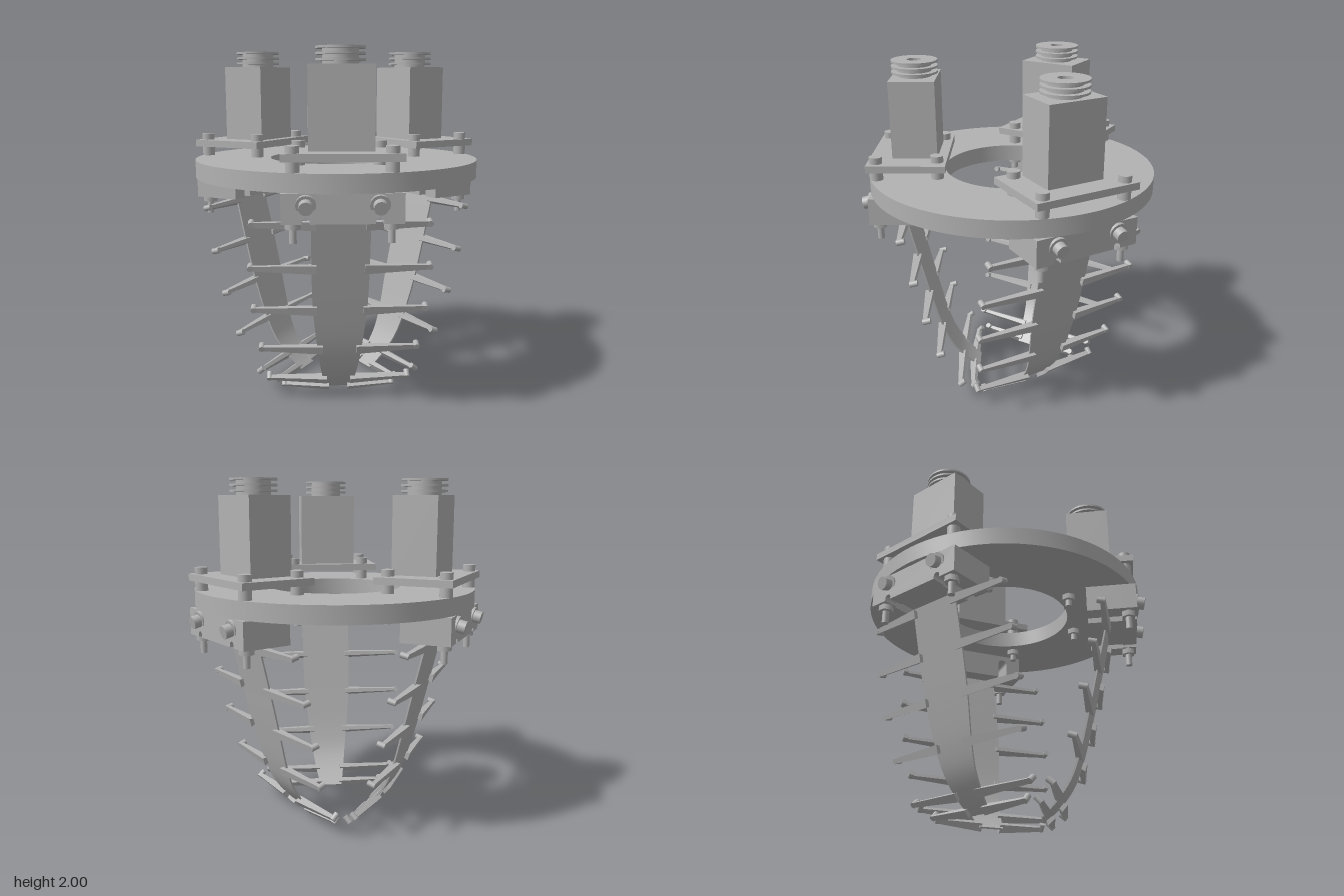
import * as THREE from 'three';
import { toCreasedNormals } from 'three/addons/utils/BufferGeometryUtils.js';

const grey = new THREE.MeshStandardMaterial({ color: 0xb2b2b2 });
grey.name = 'machined grey';

function add(parent, name, geometry, x = 0, y = 0, z = 0) {
  const mesh = new THREE.Mesh(geometry, grey);
  mesh.name = name;
  mesh.position.set(x, y, z);
  parent.add(mesh);
  return mesh;
}

const box = (x0, x1, y0, y1, halfZ) =>
  new THREE.BoxGeometry(x1 - x0, y1 - y0, halfZ * 2).translate((x0 + x1) / 2, (y0 + y1) / 2, 0);

const rod = (r, y0, y1, sides = 24) =>
  new THREE.CylinderGeometry(r, r, y1 - y0, sides).translate(0, (y0 + y1) / 2, 0);

// Ring with a rectangular section
function ringGeometry(rIn, rOut, y0, y1) {
  const p = [[rIn, y0], [rOut, y0], [rOut, y1], [rIn, y1], [rIn, y0]].map(a => new THREE.Vector2(...a));
  return toCreasedNormals(new THREE.LatheGeometry(p, 96), 0.6);
}

// Slice of the clamp block with two arched notches open at the bottom
function notchedSlice(x0, x1, halfNotch, top) {
  const s = new THREE.Shape();
  const y0 = 1.125;
  s.moveTo(-0.31, y0);
  for (const c of [-0.185, 0.185]) {
    s.lineTo(c - halfNotch, y0);
    s.lineTo(c - halfNotch, top - halfNotch);
    s.absarc(c, top - halfNotch, halfNotch, Math.PI, 0, true);
    s.lineTo(c + halfNotch, y0);
  }
  s.lineTo(0.31, y0);
  s.lineTo(0.31, 1.28);
  s.lineTo(-0.31, 1.28);
  const g = new THREE.ExtrudeGeometry(s, { depth: x1 - x0, bevelEnabled: false, curveSegments: 12 });
  return g.rotateY(Math.PI / 2).translate(x0, 0, 0);
}

// Finger centre line: x = radius, y = height, z = half width
const fingerCurve = new THREE.CatmullRomCurve3([
  [0.645, 1.2, 0.157], [0.618, 1.09, 0.157], [0.558, 0.84, 0.157], [0.498, 0.59, 0.15],
  [0.43, 0.34, 0.125], [0.378, 0.21, 0.108], [0.307, 0.11, 0.092], [0.235, 0.038, 0.075],
  [0.21, 0.018, 0.07]].map(p => new THREE.Vector3(...p)));

// Lean of the finger, so that local x is its outward normal
function leanAt(u) {
  const t = fingerCurve.getTangentAt(u);
  return -Math.atan2(-t.x, -t.y);
}

function fingerGeometry() {
  const g = new THREE.BoxGeometry(0.01, 1, 2, 1, 40, 1);
  const pos = g.attributes.position;
  for (let i = 0; i < pos.count; i++) {
    const u = THREE.MathUtils.clamp(0.5 - pos.getY(i), 0, 1);
    const p = fingerCurve.getPointAt(u), a = leanAt(u), d = pos.getX(i);
    pos.setXYZ(i, p.x + d * Math.cos(a), p.y + d * Math.sin(a), pos.getZ(i) * p.z);
  }
  g.computeVertexNormals();
  return g;
}

// Tapered bar from the finger edge to its tip
function barGeometry(root, tip, side) {
  const g = new THREE.BoxGeometry(1, 1, tip - root).translate(0, 0, side * (root + tip) / 2);
  const pos = g.attributes.position;
  for (let i = 0; i < pos.count; i++) {
    const atTip = Math.abs(pos.getZ(i)) > (root + tip) / 2;
    const outer = pos.getX(i) > 0;
    const x = outer ? (atTip ? 0.006 : 0.03) : -0.018;
    const half = atTip ? (outer ? 0.014 : 0.009) : (outer ? 0.026 : 0.014);
    pos.setXY(i, x, Math.sign(pos.getY(i)) * half);
  }
  g.computeVertexNormals();
  return g;
}

function findHeight(y) {
  let lo = 0, hi = 1;
  for (let i = 0; i < 25; i++) {
    const mid = (lo + hi) / 2;
    if (fingerCurve.getPointAt(mid).y > y) lo = mid; else hi = mid;
  }
  return lo;
}

function buildFinger() {
  const finger = new THREE.Group();
  finger.name = 'finger';
  add(finger, 'fingerStrip', fingerGeometry());
  // height, root and tip of each pair of bars
  const bars = [[1.09, 0.13, 0.47], [0.84, 0.13, 0.485], [0.59, 0.128, 0.475],
    [0.34, 0.095, 0.44], [0.11, 0.068, 0.405], [0.038, 0.055, 0.32]];
  for (const [y, root, tip] of bars) {
    const u = findHeight(y), p = fingerCurve.getPointAt(u);
    const pair = new THREE.Group();
    pair.name = 'barPair';
    pair.position.set(p.x, p.y, 0);
    pair.rotation.z = leanAt(u);
    for (const side of [-1, 1]) {
      add(pair, 'bar', barGeometry(root, tip, side));
      const knob = rod(0.017, -0.008, 0.038, 14).rotateZ(Math.PI / 2);
      add(pair, 'barTip', knob, 0, 0, side * tip);
    }
    finger.add(pair);
  }
  return finger;
}

// Grooved pulley with a bore
function pulleyGeometry() {
  const p = [[0.04, 1.91], [0.095, 1.91]];
  for (const y of [1.926, 1.957, 1.988]) p.push([0.095, y], [0.13, y], [0.13, y + 0.012], [0.095, y + 0.012]);
  p.splice(-1, 1, [0.13, 2], [0.04, 2], [0.04, 1.91]);
  return toCreasedNormals(new THREE.LatheGeometry(p.map(a => new THREE.Vector2(...a)), 40), 0.6);
}

function buildModule() {
  const m = new THREE.Group();
  m.name = 'gripperModule';
  add(m, 'mountingPlate', box(0.3625, 0.8025, 1.435, 1.475, 0.31));
  add(m, 'motor', box(0.4175, 0.6725, 1.475, 1.91, 0.17));
  add(m, 'pulley', pulleyGeometry(), 0.545);
  add(m, 'clampBlockInner', notchedSlice(0.52, 0.72, 0.03, 1.25));
  add(m, 'clampBlockOuter', notchedSlice(0.72, 0.8025, 0.02, 1.158));

  for (const side of [-1, 1]) {
    // Vertical bolts: inner short, outer through the block
    for (const [x, z, under, end] of [[0.415, 0.222, 1.28, 1.21], [0.7525, 0.25, 1.125, 1.02]]) {
      const bolt = new THREE.Group();
      bolt.name = 'plateBolt';
      bolt.position.set(x, 0, side * z);
      add(bolt, 'boltHead', rod(0.036, 1.475, 1.512));
      add(bolt, 'spacer', rod(0.036, 1.38, 1.435));
      add(bolt, 'nut', rod(0.041, under - 0.032, under, 6));
      add(bolt, 'boltShank', rod(0.019, end, 1.475));
      m.add(bolt);
    }
    // Clamp screws, square to the finger
    const screw = new THREE.Group();
    screw.name = 'clampScrew';
    screw.position.set(0.8025, 1.222, side * 0.185);
    screw.rotation.z = -Math.PI / 2 - 0.23;
    add(screw, 'screwWasher', rod(0.052, -0.015, 0.006));
    add(screw, 'screwHead', rod(0.036, 0, 0.05));
    add(screw, 'screwShank', rod(0.019, -0.25, 0));
    add(screw, 'screwNut', rod(0.028, -0.25, -0.215, 6));
    m.add(screw);
  }
  m.add(buildFinger());
  return m;
}

export function createModel() {
  const model = new THREE.Group();
  model.name = 'threeFingerGripper';
  const body = new THREE.Group();
  body.name = 'gripperBody';
  body.position.x = -0.0175;
  add(body, 'baseRing', ringGeometry(0.39, 0.828, 1.28, 1.38));
  for (let i = 0; i < 3; i++) {
    const m = buildModule();
    m.rotation.y = i * Math.PI * 2 / 3;
    body.add(m);
  }
  model.add(body);
  return model;
}
